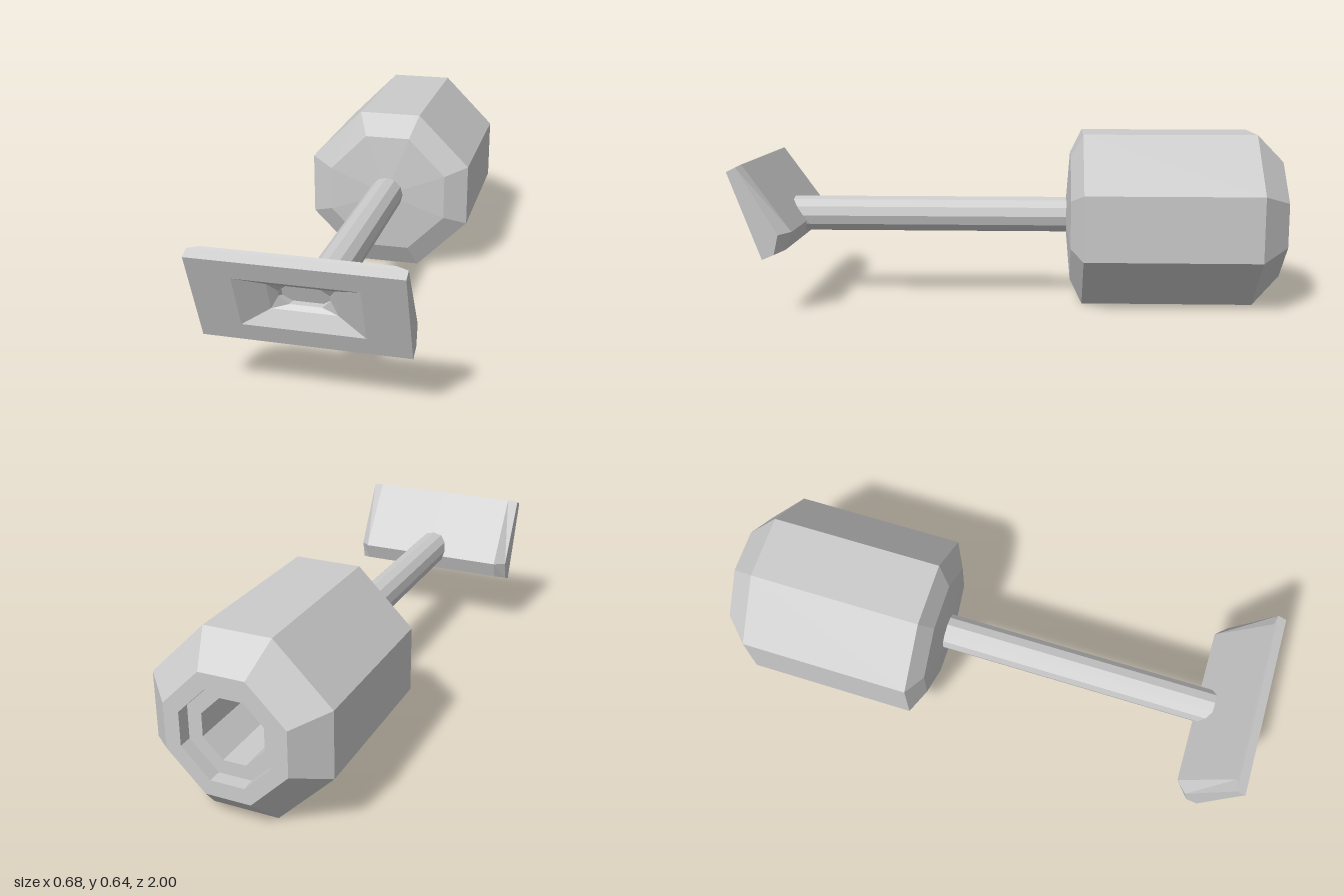
import * as THREE from 'three';

const material = new THREE.MeshStandardMaterial({ color: 0xcccccc, flatShading: true });

// Mirror four right-hand points (top to bottom) into a counterclockwise ring of eight
function ring(half) {
  const up = [...half].reverse();
  return [...up, ...half.map(([x, y, z]) => [-x, y, z])];
}

// Skin consecutive rings with flat quads
function loft(rings) {
  const pos = [];
  for (let r = 0; r < rings.length - 1; r++) {
    const a = rings[r], b = rings[r + 1];
    for (let i = 0; i < 8; i++) {
      const j = (i + 1) % 8;
      pos.push(...a[i], ...b[i], ...a[j], ...a[j], ...b[i], ...b[j]);
    }
  }
  const g = new THREE.BufferGeometry();
  g.setAttribute('position', new THREE.Float32BufferAttribute(pos, 3));
  g.computeVertexNormals();
  return g;
}

const flatten = (r) => r.map(([, y, z]) => [0, y, z]); // closes a ring on its centre line

function add(group, name, geometry) {
  const mesh = new THREE.Mesh(geometry, material);
  mesh.name = name;
  group.add(mesh);
  return mesh;
}

// Octagonal body: shallow nose, barrel, tapered tail and stepped hollow
function bodyGeometry() {
  const cy = 0.318, k = 0.374;
  const oct = ([a, z]) => ring([
    [a * k, cy + a, z], [a, cy + a * k, z], [a, cy - a * k, z], [a * k, cy - a, z],
  ]);
  return loft([
    [0, -0.195], [0.232, -0.215], [0.318, -0.26], [0.318, -0.895], [0.215, -1],
    [0.16, -1], [0.16, -0.95], [0.11, -0.95], [0.11, -0.6], [0, -0.6],
  ].map(oct));
}

// Tilted nozzle head with a funnel-shaped intake in its front face
function headGeometry() {
  const front = (y, depth) => 0.885 + 0.365 * (y - 0.205) - depth;
  const opening = (x1, x2, ys, depth) => ring(
    ys.map((y, i) => [i === 0 || i === 3 ? x1 : x2, y, front(y, depth)]));
  const shell = (x, top, mid, low) => ring([[x, ...top], [x, ...top], [x, ...mid], [x, ...low]]);

  const floor = opening(0.05, 0.08, [0.407, 0.39, 0.36, 0.34], 0.085);
  const back = shell(0.3, [0.542, 0.957], [0.3, 0.785], [0.235, 0.808]);
  return loft([
    flatten(floor),
    floor,
    opening(0.053, 0.083, [0.413, 0.39, 0.37, 0.339], 0.06),
    opening(0.108, 0.108, [0.424, 0.424, 0.325, 0.325], 0.04),
    opening(0.2, 0.2, [0.455, 0.455, 0.269, 0.269], 0),
    shell(0.34, [0.52, 1], [0.205, 0.885], [0.205, 0.885]),
    shell(0.34, [0.536, 0.967], [0.295, 0.825], [0.223, 0.842]),
    back,
    flatten(back),
  ]);
}

export function createModel() {
  const group = new THREE.Group();
  group.name = 'handheldVacuum';

  add(group, 'body', bodyGeometry());

  // Straight tube from the nose into the back of the head
  const tube = new THREE.CylinderGeometry(0.067, 0.067, 1.05, 12);
  tube.rotateX(Math.PI / 2);
  add(group, 'tube', tube).position.set(0, 0.32, 0.315);

  add(group, 'nozzleHead', headGeometry());
  return group;
}
